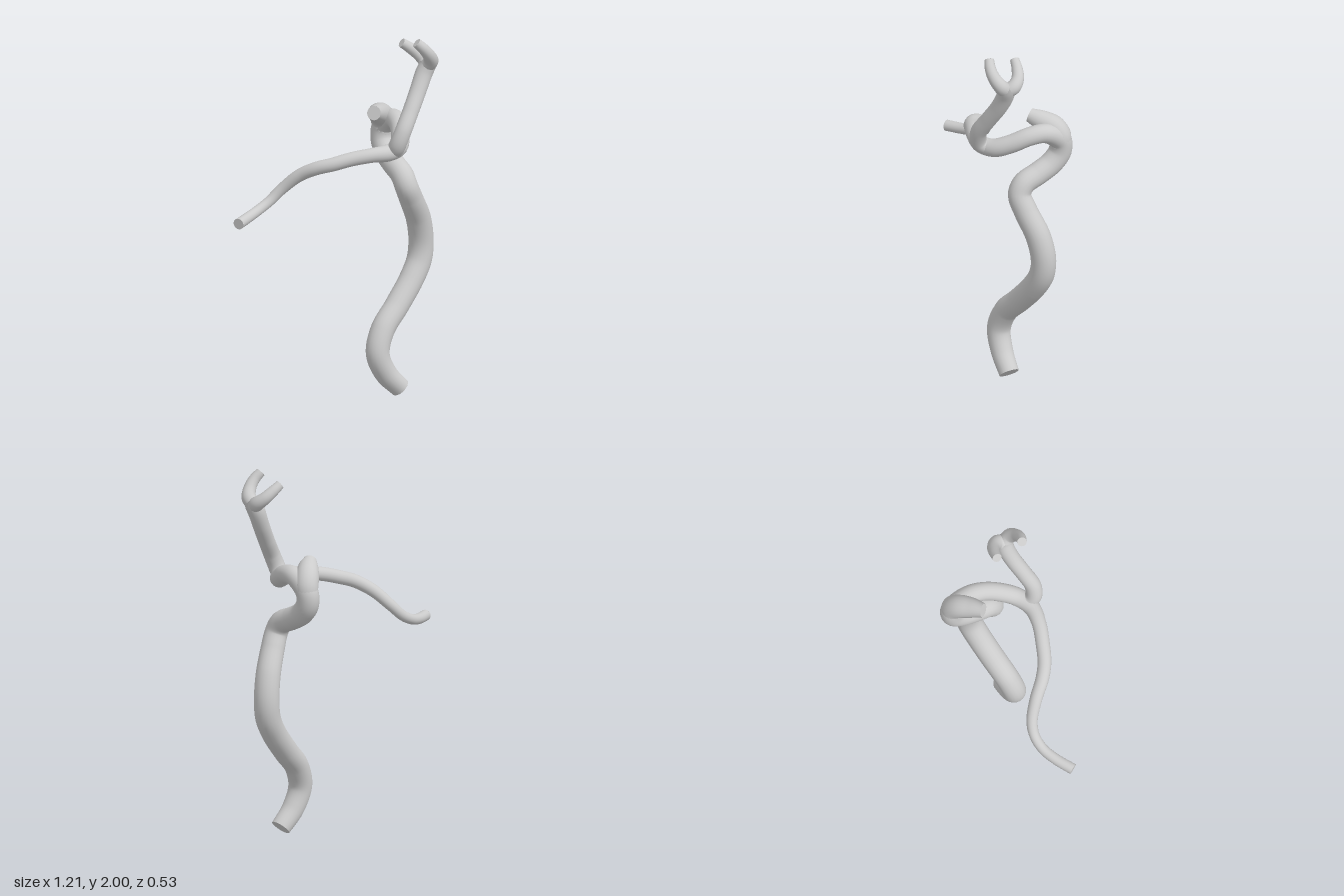
import * as THREE from 'three';

const SIDES = 20;
const material = new THREE.MeshStandardMaterial({ color: 0xcccccc, side: THREE.DoubleSide });

// Tapering tube through points [x, y, z, radius], closed with flat discs.
function vessel(name, points, segments, capStart = false) {
  const group = new THREE.Group();
  group.name = name;
  const curve = new THREE.CatmullRomCurve3(points.map(([x, y, z]) => new THREE.Vector3(x, y, z)));
  curve.arcLengthDivisions = 600;
  const radiusAt = (u) => {
    const s = curve.getUtoTmapping(u) * (points.length - 1);
    const i = Math.min(Math.floor(s), points.length - 2);
    return THREE.MathUtils.lerp(points[i][3], points[i + 1][3], s - i);
  };

  // Unit tube, each ring then scaled about its centre
  const geometry = new THREE.TubeGeometry(curve, segments, 1, SIDES, false);
  const position = geometry.attributes.position;
  const v = new THREE.Vector3();
  for (let i = 0; i <= segments; i++) {
    const centre = curve.getPointAt(i / segments);
    const radius = radiusAt(i / segments);
    for (let j = 0; j <= SIDES; j++) {
      const k = i * (SIDES + 1) + j;
      v.fromBufferAttribute(position, k).sub(centre).multiplyScalar(radius).add(centre);
      position.setXYZ(k, v.x, v.y, v.z);
    }
  }
  const wall = new THREE.Mesh(geometry, material);
  wall.name = name + 'Wall';
  group.add(wall);

  // Cut ends
  for (const u of capStart ? [0, 1] : [1]) {
    const cap = new THREE.Mesh(new THREE.CircleGeometry(radiusAt(u), SIDES), material);
    const outward = curve.getTangentAt(u).multiplyScalar(u ? 1 : -1);
    cap.quaternion.setFromUnitVectors(new THREE.Vector3(0, 0, 1), outward);
    cap.position.copy(curve.getPointAt(u));
    cap.name = name + 'CutEnd';
    group.add(cap);
  }
  return group;
}

export function createModel() {
  const model = new THREE.Group();
  model.name = 'branchingVessel';

  // Winding trunk, the loop at its top and the long side branch
  model.add(vessel('trunkAndLongBranch', [
    [0.335, 0.04, 0.07, 0.054], [0.25, 0.13, 0.065, 0.06], [0.203, 0.245, 0.058, 0.064],
    [0.245, 0.365, 0.04, 0.065], [0.35, 0.475, 0.015, 0.066], [0.46, 0.6, -0.01, 0.067],
    [0.52, 0.7, -0.025, 0.068], [0.533, 0.8, -0.028, 0.068], [0.505, 0.93, -0.01, 0.067],
    [0.435, 1.06, 0.027, 0.064], [0.395, 1.14, 0.04, 0.062], [0.388, 1.195, 0.01, 0.062],
    [0.39, 1.235, -0.075, 0.062], [0.395, 1.28, -0.155, 0.062], [0.4, 1.34, -0.203, 0.062],
    [0.405, 1.405, -0.205, 0.061], [0.408, 1.45, -0.165, 0.058], [0.405, 1.478, -0.1, 0.052],
    [0.385, 1.468, -0.02, 0.05], [0.345, 1.43, 0.06, 0.05], [0.285, 1.395, 0.13, 0.05],
    [0.2, 1.385, 0.165, 0.046], [0.1, 1.383, 0.15, 0.039], [0, 1.368, 0.11, 0.038],
    [-0.09, 1.342, 0.065, 0.037], [-0.155, 1.318, 0.01, 0.036], [-0.215, 1.27, -0.065, 0.034],
    [-0.285, 1.185, -0.135, 0.03], [-0.345, 1.125, -0.157, 0.028], [-0.42, 1.088, -0.152, 0.028],
    [-0.5, 1.07, -0.122, 0.029], [-0.595, 1.06, -0.072, 0.03],
  ], 220, true));

  // Short stub at the back of the loop
  model.add(vessel('backStub', [
    [0.403, 1.37, -0.205, 0.055], [0.402, 1.44, -0.198, 0.064], [0.375, 1.485, -0.175, 0.064],
    [0.325, 1.512, -0.13, 0.055], [0.275, 1.53, -0.09, 0.038],
  ], 30));

  // Rising branch
  model.add(vessel('upperBranch', [
    [0.26, 1.375, 0.14, 0.036], [0.235, 1.42, 0.195, 0.046], [0.26, 1.5, 0.213, 0.045],
    [0.325, 1.6, 0.19, 0.044], [0.39, 1.7, 0.163, 0.045], [0.435, 1.785, 0.15, 0.047],
    [0.458, 1.835, 0.155, 0.046], [0.463, 1.86, 0.157, 0.026],
  ], 50));

  // Two tips of the fork
  model.add(vessel('frontTip', [
    [0.45, 1.82, 0.15, 0.04], [0.456, 1.86, 0.188, 0.04], [0.425, 1.905, 0.212, 0.034],
    [0.39, 1.945, 0.215, 0.03], [0.355, 1.98, 0.203, 0.026],
  ], 30));
  model.add(vessel('backTip', [
    [0.45, 1.82, 0.155, 0.04], [0.465, 1.845, 0.115, 0.04], [0.445, 1.875, 0.08, 0.034],
    [0.405, 1.91, 0.06, 0.03], [0.36, 1.942, 0.05, 0.025],
  ], 30));

  return model;
}
